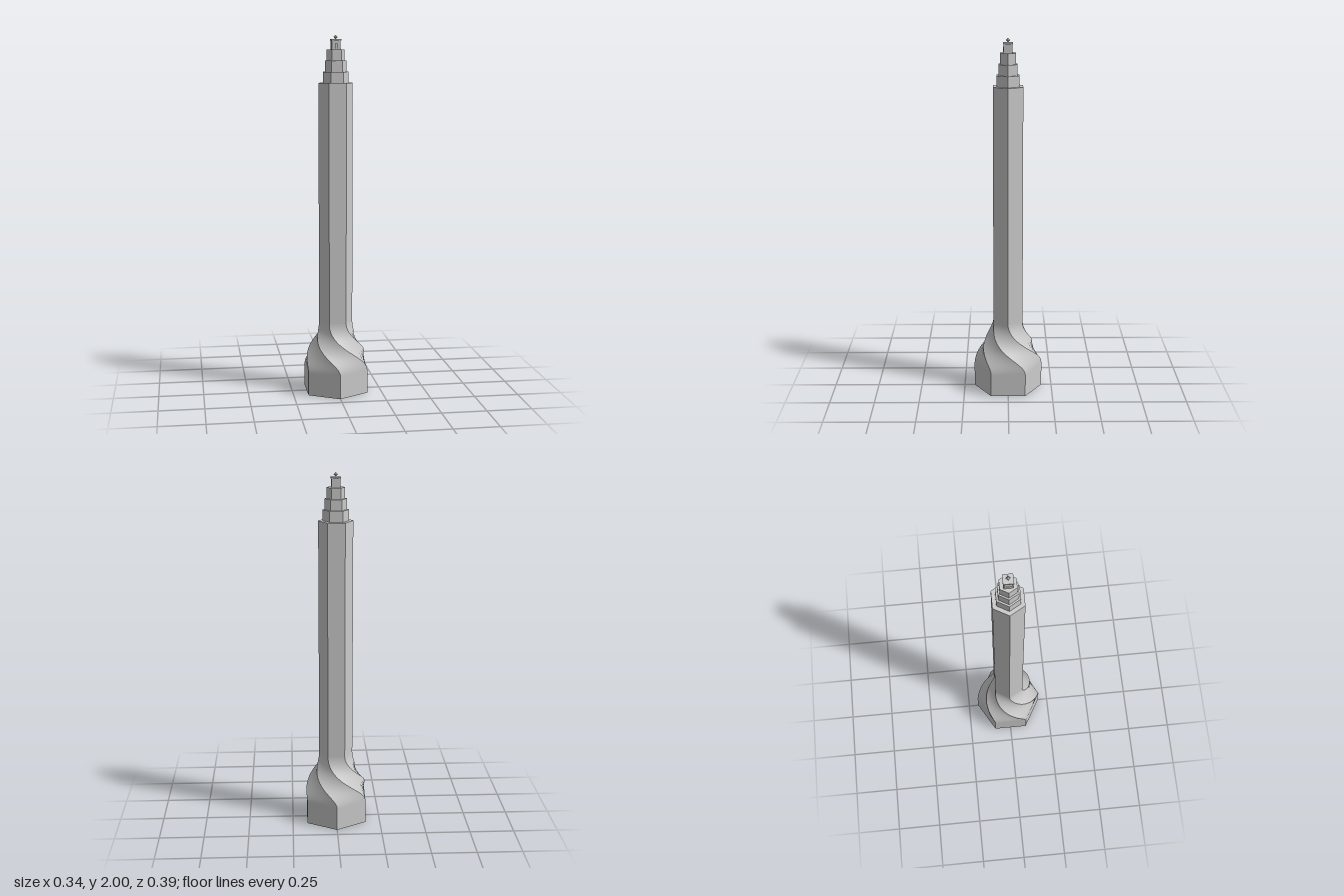
import * as THREE from 'three';

const material = new THREE.MeshStandardMaterial({ color: 0xcccccc, side: THREE.DoubleSide });

function add(parent, name, geometry, x = 0, y = 0, z = 0) {
  const mesh = new THREE.Mesh(geometry, material);
  mesh.name = name;
  mesh.position.set(x, y, z);
  parent.add(mesh);
  return mesh;
}

// Hexagonal prism with corners on +x and -x
function hexPrism(radius, height) {
  const g = new THREE.CylinderGeometry(radius, radius, height, 6).toNonIndexed();
  g.rotateY(Math.PI / 6);
  g.computeVertexNormals();
  return g;
}

// Six twisted ribbons: smooth along the height, sharp along the corners
function twistedHexagon(y0, y1, r0, r1, twist, steps) {
  const positions = [], index = [];
  for (let side = 0; side < 6; side++) {
    const start = positions.length / 3;
    for (let i = 0; i <= steps; i++) {
      const t = i / steps;
      const ease = t * t * (3 - 2 * t);
      const r = r0 + (r1 - r0) * ease;
      for (let k = 0; k < 2; k++) {
        const a = Math.PI / 6 + (side + k) * Math.PI / 3 + twist * ease;
        positions.push(r * Math.cos(a), y0 + (y1 - y0) * t, r * Math.sin(a));
      }
      if (i < steps) {
        const p = start + i * 2;
        index.push(p, p + 2, p + 1, p + 1, p + 2, p + 3);
      }
    }
  }
  const g = new THREE.BufferGeometry();
  g.setAttribute('position', new THREE.Float32BufferAttribute(positions, 3));
  g.setIndex(index);
  g.computeVertexNormals();
  return g;
}

export function createModel() {
  const tower = new THREE.Group();
  tower.name = 'twistedTower';

  // Wide base with corners on +z and -z
  const base = hexPrism(0.193, 0.13);
  base.rotateY(Math.PI / 6);
  add(tower, 'base', base, 0, 0.065, 0);

  // Quarter-turn transition, narrowing into the shaft
  add(tower, 'twistedNeck', twistedHexagon(0.13, 0.4, 0.193, 0.095, Math.PI / 2, 24));

  // Long shaft
  add(tower, 'shaft', hexPrism(0.095, 1.34), 0, 1.07, 0);

  // Stepped crown
  [0.071, 0.06, 0.05].forEach((r, i) =>
    add(tower, 'crownTier' + (i + 1), hexPrism(r, 0.06), 0, 1.77 + i * 0.06, 0));

  // Square lantern room with corner posts
  const lantern = new THREE.Group();
  lantern.name = 'lantern';
  tower.add(lantern);
  add(lantern, 'lanternFloor', new THREE.BoxGeometry(0.05, 0.006, 0.05), 0, 1.923, 0);
  add(lantern, 'lanternCore', new THREE.BoxGeometry(0.038, 0.045, 0.038), 0, 1.946, 0);
  for (const x of [-1, 1])
    for (const z of [-1, 1])
      add(lantern, 'cornerPost', new THREE.BoxGeometry(0.008, 0.045, 0.008), x * 0.02, 1.946, z * 0.02);
  add(lantern, 'doorway', new THREE.BoxGeometry(0.014, 0.026, 0.008), 0, 1.939, 0.024);
  add(lantern, 'lanternRoof', new THREE.BoxGeometry(0.054, 0.008, 0.054), 0, 1.972, 0);

  // Diamond finial
  add(lantern, 'finial', new THREE.OctahedronGeometry(0.012), 0, 1.988, 0);

  return tower;
}
